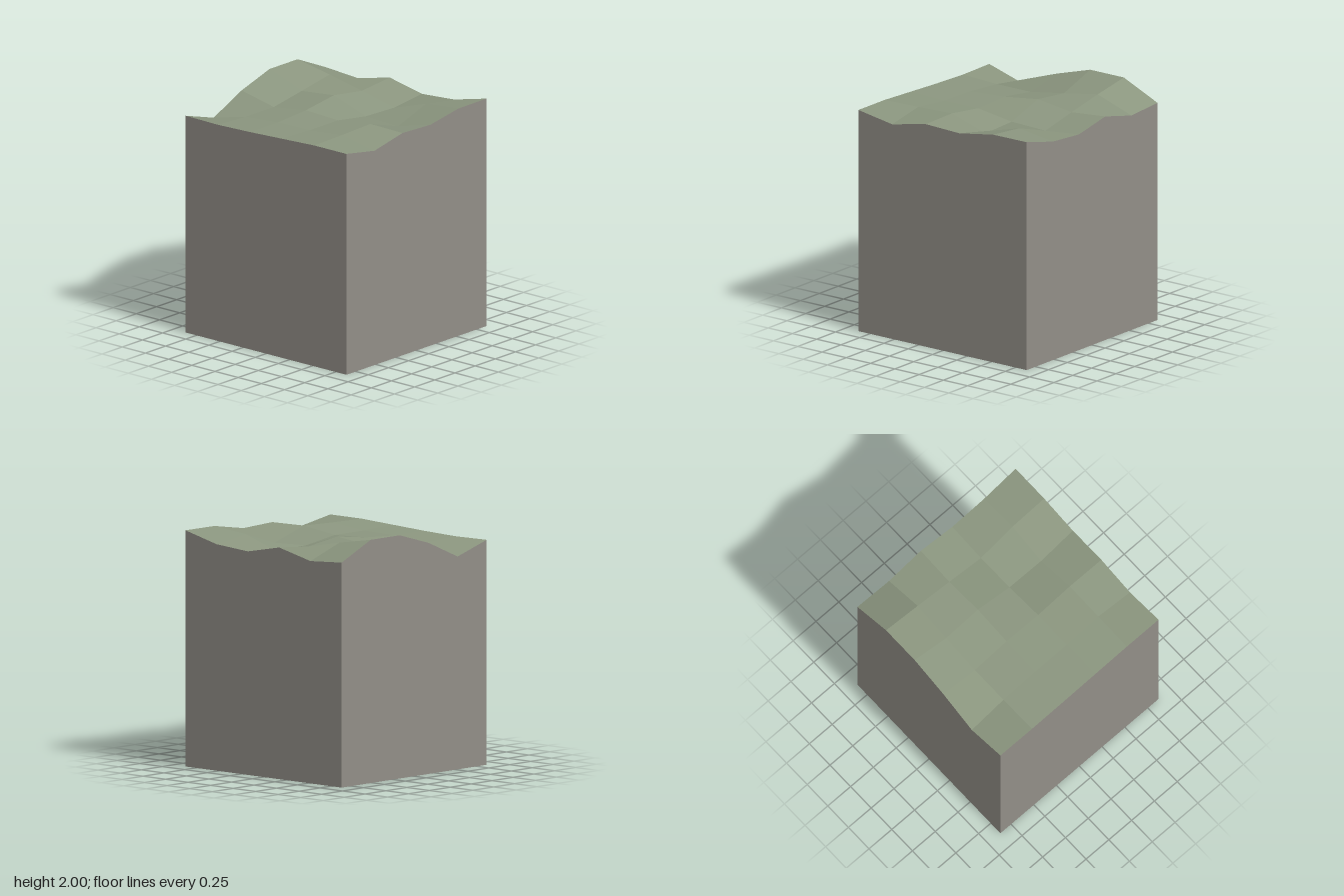
import * as THREE from 'three';

const HALF = 0.867;
const CELLS = 5;
const STEP = (2 * HALF) / CELLS;

// Ground heights: rows run from back (-z) to front (+z), columns from -x to +x.
const HEIGHTS = [
  [1.85, 1.75, 1.9, 2.0, 2.0, 1.85],
  [1.845, 1.83, 1.83, 1.885, 1.942, 1.828],
  [1.855, 1.855, 1.875, 1.92, 1.875, 1.905],
  [1.87, 1.86, 1.861, 1.813, 1.803, 1.838],
  [1.885, 1.892, 1.903, 1.8, 1.909, 1.862],
  [1.885, 1.829, 1.897, 1.885, 1.94, 1.942],
];

const groundPoint = (col, row) =>
  new THREE.Vector3(-HALF + col * STEP, HEIGHTS[row][col], -HALF + row * STEP);

// Geometry from quads [a, b, c, d], counter-clockwise, split along b-d, one flat normal per quad.
function quadGeometry(quads) {
  const positions = [], normals = [], index = [];
  quads.forEach(([a, b, c, d], q) => {
    const normal = c.clone().sub(a).cross(d.clone().sub(b)).normalize();
    for (const p of [a, b, c, d]) {
      positions.push(p.x, p.y, p.z);
      normals.push(normal.x, normal.y, normal.z);
    }
    const o = q * 4;
    index.push(o, o + 1, o + 3, o + 1, o + 2, o + 3);
  });
  const geometry = new THREE.BufferGeometry();
  geometry.setAttribute('position', new THREE.Float32BufferAttribute(positions, 3));
  geometry.setAttribute('normal', new THREE.Float32BufferAttribute(normals, 3));
  geometry.setIndex(index);
  return geometry;
}

// Wall dropping from a ground edge to y = 0; the edge runs left to right as seen from outside.
function wallGeometry(edge) {
  const foot = (p) => new THREE.Vector3(p.x, 0, p.z);
  const quads = [];
  for (let i = 0; i < CELLS; i++) {
    quads.push([edge[i], foot(edge[i]), foot(edge[i + 1]), edge[i + 1]]);
  }
  return quadGeometry(quads);
}

export function createModel() {
  const model = new THREE.Group();
  model.name = 'terrainBlock';

  const grass = new THREE.MeshStandardMaterial({ color: 0x8b967f, side: THREE.DoubleSide });
  grass.name = 'mossGreen';
  const stone = new THREE.MeshStandardMaterial({ color: 0x928e87, side: THREE.DoubleSide });
  stone.name = 'stoneGrey';

  const add = (name, geometry, material) => {
    const mesh = new THREE.Mesh(geometry, material);
    mesh.name = name;
    model.add(mesh);
  };

  // Uneven ground on top
  const cells = [];
  for (let row = 0; row < CELLS; row++) {
    for (let col = 0; col < CELLS; col++) {
      cells.push([
        groundPoint(col, row), groundPoint(col, row + 1),
        groundPoint(col + 1, row + 1), groundPoint(col + 1, row),
      ]);
    }
  }
  add('ground', quadGeometry(cells), grass);

  // Four walls, open underneath
  const steps = Array.from({ length: CELLS + 1 }, (_, i) => i);
  add('frontWall', wallGeometry(steps.map((i) => groundPoint(i, CELLS))), stone);
  add('leftWall', wallGeometry(steps.map((i) => groundPoint(CELLS, CELLS - i))), stone);
  add('backWall', wallGeometry(steps.map((i) => groundPoint(CELLS - i, 0))), stone);
  add('rightWall', wallGeometry(steps.map((i) => groundPoint(0, i))), stone);

  return model;
}
